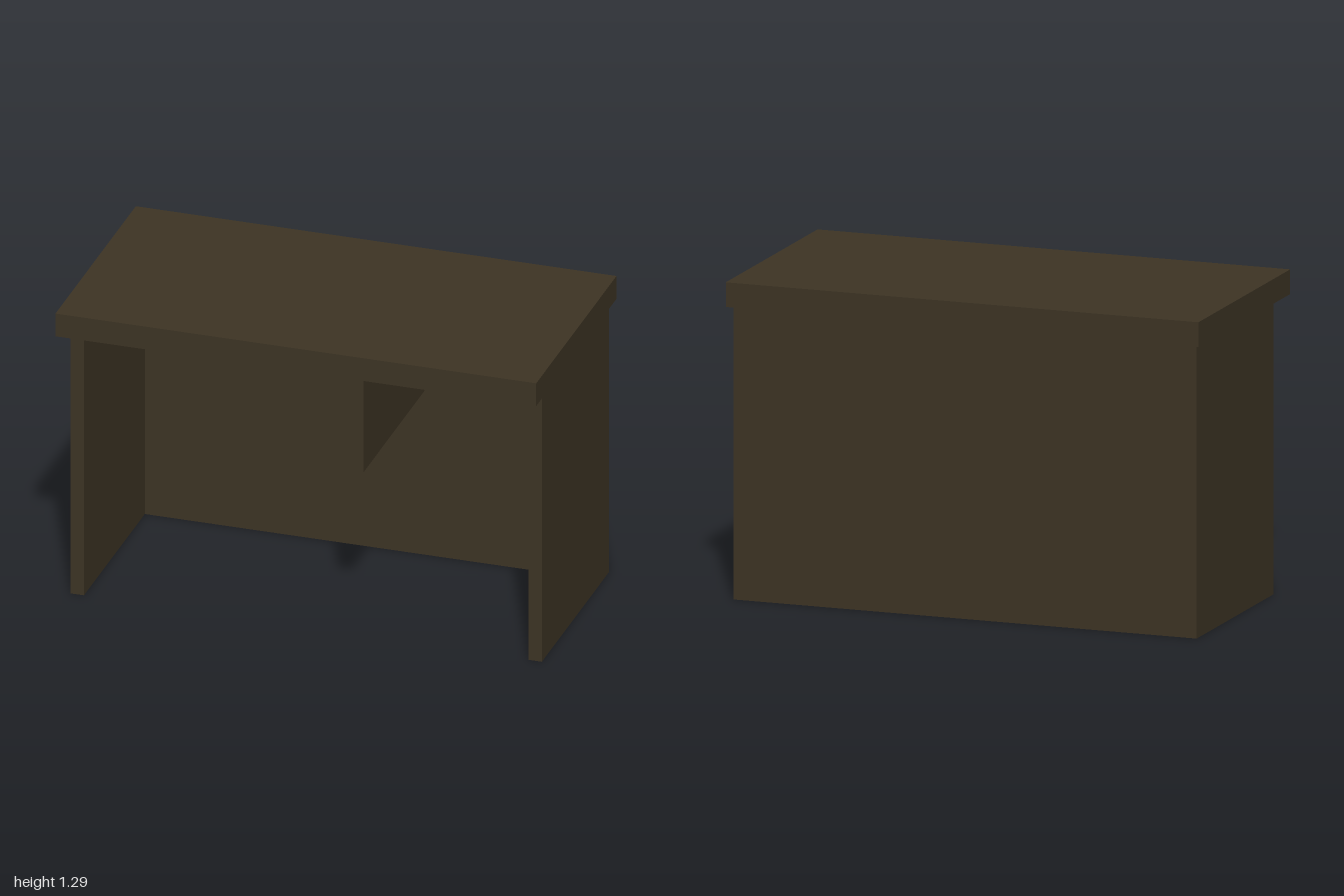
import * as THREE from 'three';

export function createModel() {
  const desk = new THREE.Group();
  desk.name = 'desk';
  const darkWood = new THREE.MeshStandardMaterial({ color: 0x3d3424 });
  darkWood.name = 'darkWood';

  const add = (name, geometry) => {
    const mesh = new THREE.Mesh(geometry, darkWood);
    mesh.name = name;
    desk.add(mesh);
  };

  // Box from its lower and upper limits on each axis
  const board = (name, [x0, x1], [y0, y1], [z0, z1]) => {
    const box = new THREE.BoxGeometry(x1 - x0, y1 - y0, z1 - z0);
    add(name, box.translate((x0 + x1) / 2, (y0 + y1) / 2, (z0 + z1) / 2));
  };

  const underside = 1.19, front = 0.375, back = -0.475, backInner = -0.393;
  const outer = 0.98, inner = 0.925;

  // Thick overhanging top
  board('desktop', [-1, 1], [underside, 1.29], [-0.507, 0.507]);

  // Side panels and back panel as one U-shaped plan, drawn in x and -z, raised to the top
  const plan = new THREE.Shape([
    [-outer, front], [-inner, front], [-inner, backInner], [inner, backInner],
    [inner, front], [outer, front], [outer, back], [-outer, back],
  ].map(([x, z]) => new THREE.Vector2(x, -z)));
  const panels = new THREE.ExtrudeGeometry(plan, { depth: underside, bevelEnabled: false });
  add('sideAndBackPanels', panels.rotateX(-Math.PI / 2));

  // Short divider hanging below the top
  board('divider', [0.18, 0.238], [0.72, underside], [backInner, front]);

  return desk;
}
